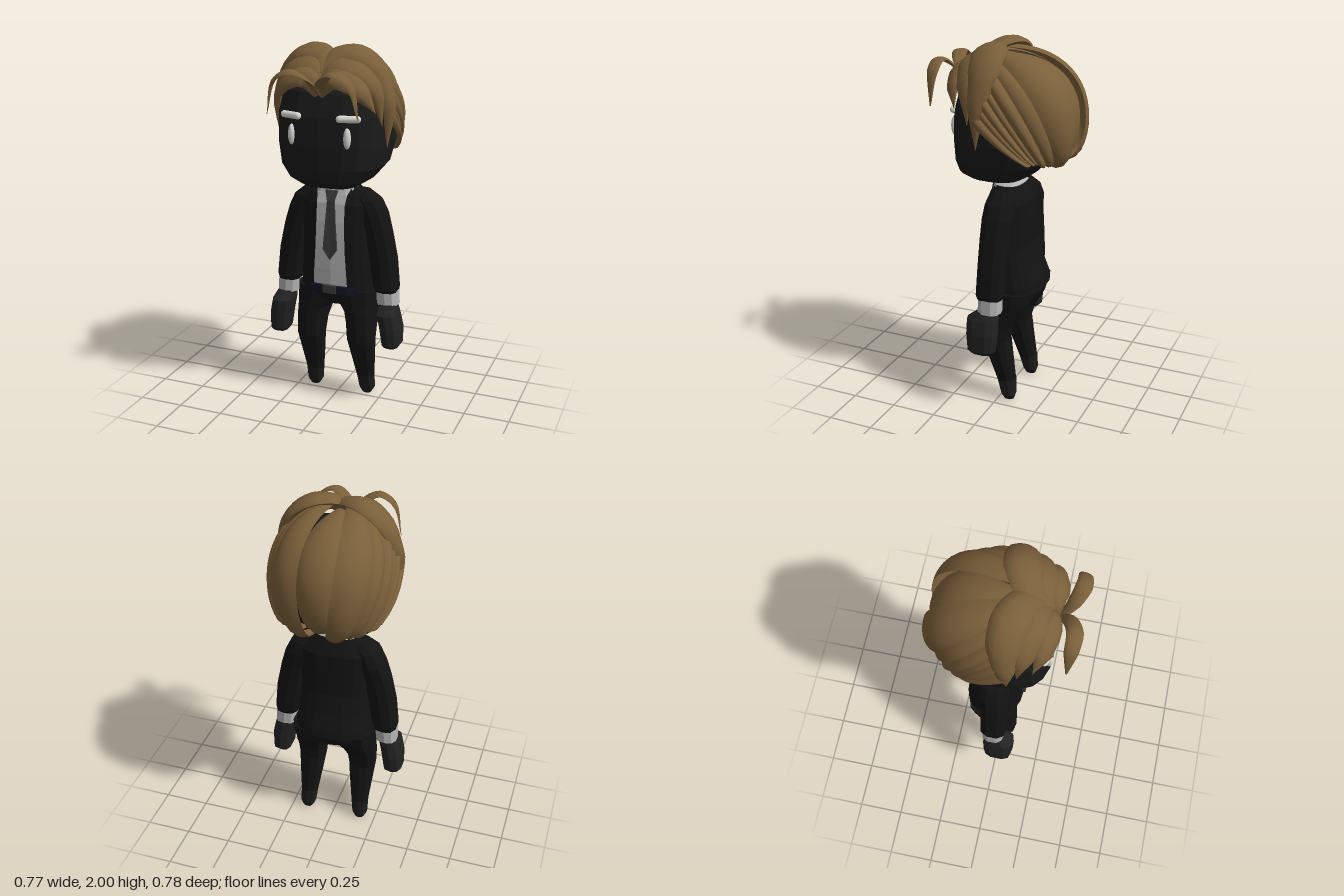
import * as THREE from 'three';
import { toCreasedNormals } from 'three/addons/utils/BufferGeometryUtils.js';

const V = (x, y, z) => new THREE.Vector3(x, y, z);
const flat = (color) => new THREE.MeshStandardMaterial({ color, flatShading: true, side: THREE.DoubleSide });
const MAT = {
  skin: flat(0x1a1a1a), suit: flat(0x131313), shirt: flat(0xb4b4b4), tie: flat(0x3c3c3c),
  glove: flat(0x222222), belt: flat(0x13162a), shoe: flat(0x1c1c1c),
  eye: new THREE.MeshStandardMaterial({ color: 0xd8d8d0 }),
  hair: new THREE.MeshStandardMaterial({ color: 0x7a5f3a, side: THREE.DoubleSide }),
};
const HEAD = V(0, 1.6, 0);
const BROW = V(0, 1.6, 0.3);

// Skins a list of rings; closed rings wrap round and get end caps
function skin(rings, closed = true) {
  const n = rings[0].length, pos = [], idx = [];
  rings.forEach((r) => r.forEach((p) => pos.push(p.x, p.y, p.z)));
  for (let i = 0; i < rings.length - 1; i++) {
    for (let j = 0; j < (closed ? n : n - 1); j++) {
      const k = (j + 1) % n, a = i * n + j, b = i * n + k;
      idx.push(a, b, b + n, a, b + n, a + n);
    }
  }
  if (closed) {
    [0, rings.length - 1].forEach((i) => {
      const c = rings[i].reduce((s, p) => s.add(p), V(0, 0, 0)).divideScalar(n);
      const ci = pos.length / 3;
      pos.push(c.x, c.y, c.z);
      for (let j = 0; j < n; j++) {
        const a = i * n + j, b = i * n + ((j + 1) % n);
        if (i === 0) idx.push(ci, b, a); else idx.push(ci, a, b);
      }
    });
  }
  const g = new THREE.BufferGeometry();
  g.setAttribute('position', new THREE.Float32BufferAttribute(pos, 3));
  g.setIndex(idx);
  g.computeVertexNormals();
  return g;
}

function add(parent, name, geo, mat) {
  const m = new THREE.Mesh(geo, mat);
  m.name = name;
  parent.add(m);
  return m;
}

// Rounded-square rings stacked upward; a section is [y, centreX, back z, front z, half width, front gap]
function loft(sections, { n = 12, p = 2.6, s = 1, inset = 0, open = false } = {}) {
  const pw = (v) => Math.sign(v) * Math.pow(Math.abs(v), 2 / p);
  const rings = sections.map(([y, cx, z0, z1, rx, gap = 0]) => {
    const g = open ? Math.asin(Math.pow(gap / rx, p / 2)) : 0;
    const ring = [];
    for (let j = 0; j < n; j++) {
      const a = open ? g + (2 * Math.PI - 2 * g) * j / (n - 1) : 2 * Math.PI * j / n;
      ring.push(V(s * cx + (rx - inset) * pw(Math.sin(a)), y,
        (z0 + z1) / 2 + ((z1 - z0) / 2 - inset) * pw(Math.cos(a))));
    }
    return ring;
  });
  return skin(rings, !open);
}

// Curved hair lock: domed lens section swept along a path, facing away from a centre
function lock(points, widths, thick, centre, s) {
  const curve = new THREE.CatmullRomCurve3(points.map(([x, y, z]) => V(s * x, y, z)));
  const rings = [], steps = 20;
  for (let i = 0; i <= steps; i++) {
    const t = i / steps, p = curve.getPoint(t), T = curve.getTangent(t);
    const f = Math.min(t * (widths.length - 1), widths.length - 1.0001), k = Math.floor(f);
    const w = Math.max(0.002, THREE.MathUtils.lerp(widths[k], widths[k + 1], f - k));
    const side = p.clone().sub(centre).cross(T).normalize();
    const N = T.clone().cross(side).normalize();
    const h = thick * Math.min(1, w / 0.05);
    rings.push(Array.from({ length: 12 }, (_, j) => {
      const a = j / 12 * Math.PI * 2, sn = Math.sin(a);
      return p.clone().addScaledVector(side, w * Math.cos(a)).addScaledVector(N, h * (sn > 0 ? sn : sn * 0.3));
    }));
  }
  return toCreasedNormals(skin(rings), 0.8);
}

// One combed-back strand on the skull, from the crown arch at angle a down to the nape
function backStrand(a, half, lift) {
  const rings = [], steps = 22;
  const radius = (d) => 1 / Math.pow(Math.pow(Math.abs(d.x) / 0.32, 2.2)
    + Math.pow(Math.abs(d.y) / 0.345, 2.2) + Math.pow(Math.abs(d.z) / 0.388, 2.2), 1 / 2.2);
  for (let i = 0; i <= steps; i++) {
    const t = i / steps, ring = [], tuck = Math.max(0, (t - 0.86) / 0.14);
    for (let j = 0; j <= 8; j++) {
      const u = j / 4 - 1, b = a + u * half * (1 - 0.35 * tuck * tuck);
      const from = V(Math.sin(b), Math.cos(b), 0.2).normalize();
      const to = V(0.72 * Math.sin(b), -0.68 - 0.04 * Math.cos(b * 3), -0.72).normalize();
      const w = from.angleTo(to);
      const d = from.multiplyScalar(Math.sin((1 - t) * w)).addScaledVector(to, Math.sin(t * w)).normalize();
      const k = lift + 0.055 * (1 - u * u) - 0.17 * tuck * tuck;
      ring.push(d.clone().multiplyScalar(radius(d) * k).add(HEAD));
    }
    rings.push(ring);
  }
  return skin(rings, false);
}

export function createModel() {
  const model = new THREE.Group();

  // Head
  add(model, 'head', loft([
    [1.25, 0, -0.04, 0.13, 0.09], [1.268, 0, -0.08, 0.21, 0.155], [1.31, 0, -0.15, 0.262, 0.222],
    [1.38, 0, -0.22, 0.272, 0.278], [1.5, 0, -0.28, 0.277, 0.3], [1.65, 0, -0.3, 0.272, 0.3],
    [1.77, 0, -0.27, 0.24, 0.27], [1.84, 0, -0.2, 0.17, 0.2], [1.88, 0, -0.1, 0.08, 0.1],
  ], { n: 20, p: 2.8 }), MAT.skin);

  // Torso: shirt inside an open-fronted jacket
  const torso = [
    [0.65, 0, -0.2, 0.12, 0.212, 0.1], [0.69, 0, -0.195, 0.122, 0.21, 0.098], [0.78, 0, -0.16, 0.125, 0.2, 0.093],
    [0.9, 0, -0.132, 0.125, 0.19, 0.085], [1.05, 0, -0.13, 0.12, 0.19, 0.08], [1.15, 0, -0.125, 0.108, 0.2, 0.08],
    [1.2, 0, -0.1, 0.09, 0.165, 0.085], [1.24, 0, -0.08, 0.07, 0.12, 0.1],
  ];
  add(model, 'shirt', loft(torso, { n: 16, inset: 0.012 }), MAT.shirt);
  add(model, 'jacket', loft(torso, { n: 19, open: true }), MAT.suit);
  add(model, 'collar', loft([[1.21, 0, -0.08, 0.085, 0.125], [1.24, 0, -0.078, 0.076, 0.118],
    [1.255, 0, -0.065, 0.06, 0.09]], { n: 12 }), MAT.shirt);

  // Tie, belt and hips
  const tieShape = new THREE.Shape([[-0.035, 1.225], [-0.02, 1.17], [-0.04, 0.9], [0, 0.84], [0.04, 0.9],
    [0.02, 1.17], [0.035, 1.225]].map(([x, y]) => new THREE.Vector2(x, y)));
  const tieGeo = new THREE.ExtrudeGeometry(tieShape, { depth: 0.014, bevelEnabled: false });
  const tp = tieGeo.attributes.position;
  for (let i = 0; i < tp.count; i++) {
    const y = tp.getY(i);
    tp.setZ(i, tp.getZ(i) + (y > 1.2 ? 0.08 : y > 1.1 ? 0.096 : 0.11));
  }
  add(model, 'tie', tieGeo, MAT.tie);
  add(model, 'belt', loft([[0.643, 0, -0.185, 0.122, 0.2], [0.69, 0, -0.18, 0.127, 0.2]], { n: 16 }), MAT.belt);
  add(model, 'buckle', new THREE.BoxGeometry(0.075, 0.045, 0.02), MAT.tie).position.set(0, 0.672, 0.122);
  add(model, 'hips', loft([[0.555, 0, -0.13, 0.04, 0.08], [0.59, 0, -0.165, 0.09, 0.17],
    [0.65, 0, -0.185, 0.105, 0.205]], { n: 14 }), MAT.suit);

  for (const s of [1, -1]) {
    const side = s > 0 ? 'left' : 'right';
    // Legs and shoes
    add(model, side + 'Leg', loft([
      [0.11, 0.155, -0.09, 0.008, 0.047], [0.25, 0.152, -0.07, 0.06, 0.064], [0.36, 0.15, -0.055, 0.105, 0.076],
      [0.45, 0.147, -0.08, 0.105, 0.082], [0.53, 0.137, -0.13, 0.103, 0.092], [0.575, 0.12, -0.155, 0.1, 0.112],
      [0.66, 0.113, -0.18, 0.1, 0.118],
    ], { n: 10, s }), MAT.suit);
    add(model, side + 'Shoe', loft([
      [0, 0.16, -0.085, -0.03, 0.025], [0.03, 0.16, -0.095, -0.015, 0.043], [0.12, 0.155, -0.092, 0.012, 0.048],
    ], { n: 10, s }), MAT.shoe);

    // Sleeve, cuff and gloved hand
    add(model, side + 'Sleeve', loft([
      [0.665, 0.288, -0.07, 0.065, 0.063], [0.69, 0.285, -0.08, 0.075, 0.07], [0.85, 0.265, -0.08, 0.07, 0.075],
      [1.0, 0.235, -0.085, 0.07, 0.073], [1.1, 0.205, -0.1, 0.072, 0.074], [1.17, 0.17, -0.09, 0.068, 0.076],
      [1.22, 0.12, -0.06, 0.04, 0.065],
    ], { n: 10, s }), MAT.suit);
    add(model, side + 'Cuff', loft([[0.59, 0.297, -0.068, 0.06, 0.06], [0.67, 0.292, -0.068, 0.06, 0.06]],
      { n: 10, s }), MAT.shirt);
    add(model, side + 'Hand', loft([
      [0.355, 0.332, -0.03, 0.09, 0.042], [0.375, 0.334, -0.05, 0.108, 0.054], [0.47, 0.327, -0.06, 0.118, 0.06],
      [0.55, 0.31, -0.055, 0.12, 0.06], [0.6, 0.3, -0.045, 0.055, 0.048],
    ], { n: 10, p: 2.8, s }), MAT.glove);

    // Eye: a lid bar with an upright oval below
    const lid = add(model, side + 'EyeLid', new THREE.CapsuleGeometry(0.019, 0.09, 4, 10).rotateZ(Math.PI / 2), MAT.eye);
    lid.position.set(s * 0.157, 1.652, 0.252);
    lid.rotation.y = s * 0.3;
    add(model, side + 'Eye', new THREE.SphereGeometry(1, 12, 10).scale(0.02, 0.055, 0.02), MAT.eye)
      .position.set(s * 0.152, 1.553, 0.257);

    // Parted front locks, from the side sweep to the loose curl
    [
      [[[0, 1.84, 0.19], [0.05, 1.925, 0.11], [0.14, 1.94, 0.065], [0.235, 1.865, 0.05], [0.29, 1.7, 0.06], [0.3, 1.48, 0.07]],
        [0.05, 0.09, 0.1, 0.09, 0.055, 0], 0.05, HEAD],
      [[[0, 1.8, 0.23], [0.08, 1.89, 0.185], [0.17, 1.88, 0.16], [0.25, 1.79, 0.14], [0.29, 1.6, 0.12]],
        [0.04, 0.075, 0.08, 0.06, 0], 0.035, HEAD],
      [[[0, 1.77, 0.25], [0.07, 1.845, 0.25], [0.15, 1.835, 0.24], [0.22, 1.775, 0.225], [0.28, 1.68, 0.195]],
        [0.03, 0.06, 0.065, 0.05, 0], 0.03, HEAD],
      [[[0, 1.77, 0.27], [0.05, 1.85, 0.325], [0.12, 1.885, 0.355], [0.2, 1.84, 0.355], [0.245, 1.67, 0.35]],
        [0.02, 0.036, 0.042, 0.036, 0.004], 0.02, BROW],
    ].forEach(([path, widths, thick, centre], i) => {
      add(model, side + 'FrontLock' + (i + 1), lock(path, widths, thick, centre, s), MAT.hair);
    });
  }

  // Combed-back strands, mirrored about a lower centre strand
  const pitch = 0.205;
  for (let i = -7; i <= 7; i++) {
    const lift = i === 0 ? 0.9 : Math.abs(i) % 2 ? 1.01 : 0.98;
    add(model, 'backStrand' + (i + 8), backStrand(i * pitch, pitch * 0.6, lift), MAT.hair);
  }
  return model;
}
